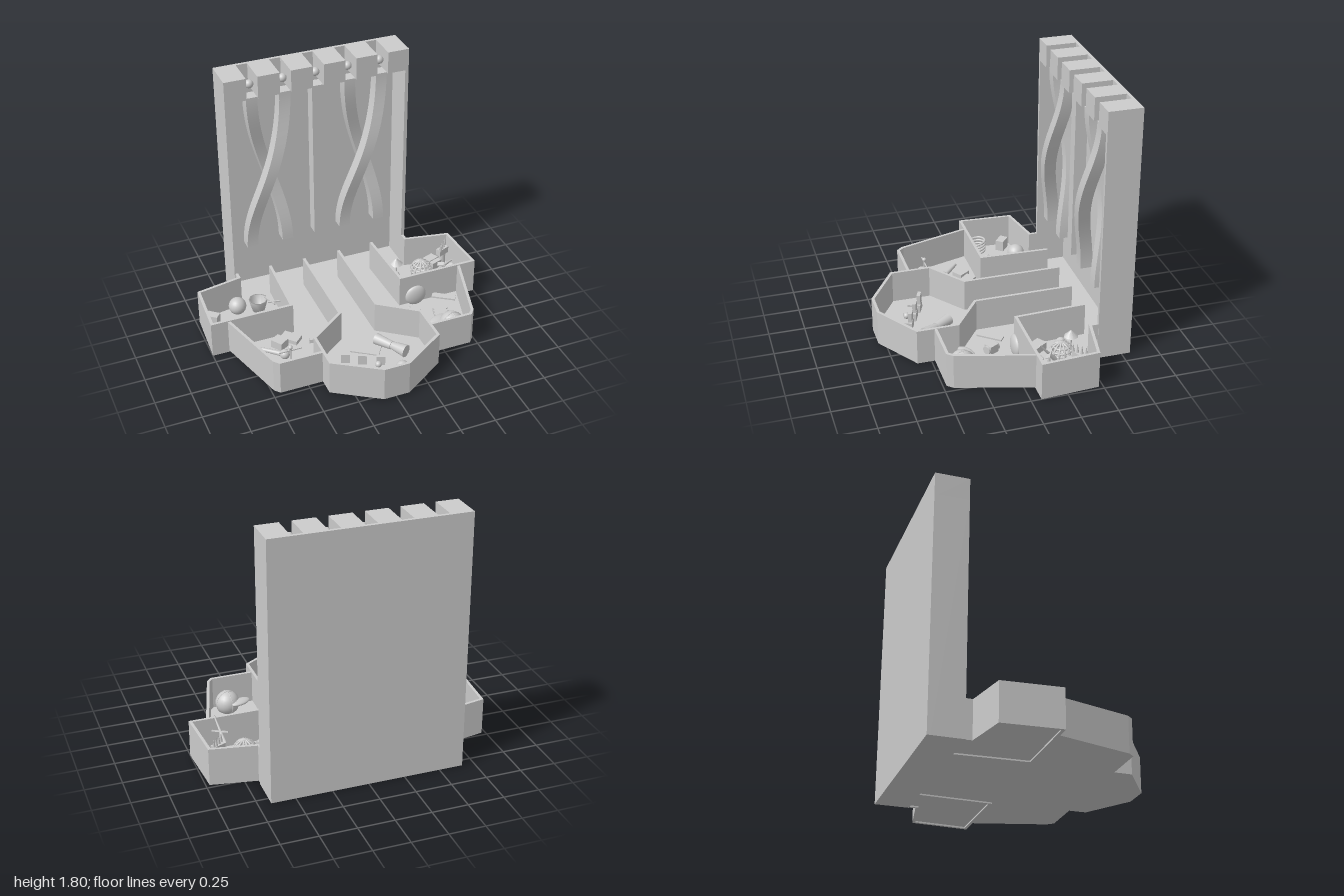
import * as THREE from 'three';

export function createModel() {
  const root = new THREE.Group();
  const mat = new THREE.MeshStandardMaterial({ color: 0xcccccc, side: THREE.DoubleSide });
  const add = (name, geo, x = 0, y = 0, z = 0, ry = 0, rx = 0, rz = 0, parent = root) => {
    const m = new THREE.Mesh(geo, mat);
    m.name = name;
    m.position.set(x, y, z);
    m.rotation.set(rx, ry, rz, 'YXZ');
    parent.add(m);
    return m;
  };
  // box given by its limits
  const block = (name, x0, x1, y0, y1, z0, z1) =>
    add(name, new THREE.BoxGeometry(x1 - x0, y1 - y0, z1 - z0), (x0 + x1) / 2, (y0 + y1) / 2, (z0 + z1) / 2);
  // plan outline of [x, z] points raised from y0 to y1
  const slab = (name, pts, y0, y1) => {
    const shape = new THREE.Shape(pts.map(([x, z]) => new THREE.Vector2(x, -z)));
    const g = new THREE.ExtrudeGeometry(shape, { depth: y1 - y0, bevelEnabled: false });
    g.rotateX(-Math.PI / 2);
    return add(name, g, 0, y0, 0);
  };
  // copy of a path moved inward by t with mitred corners
  const inset = (pts, t) => pts.map((p, i) => {
    const normal = (a, b) => new THREE.Vector2(a[1] - b[1], b[0] - a[0]).normalize();
    const n0 = normal(pts[Math.max(i - 1, 0)], pts[Math.max(i, 1)]);
    const n1 = normal(pts[Math.min(i, pts.length - 2)], pts[Math.min(i + 1, pts.length - 1)]);
    const k = t / (1 + n0.dot(n1));
    return [p[0] + (n0.x + n1.x) * k, p[1] + (n0.y + n1.y) * k];
  });
  const flip = pts => pts.map(([x, z]) => [-x, z]);

  // cabinet shell, open at the front
  block('cabinetBack', -0.665, 0.665, 0, 1.8, -0.81, -0.787);
  block('cabinetFloor', -0.64, 0.64, 0, 0.03, -0.787, -0.575);
  for (const s of [[-0.665, -0.64], [0.64, 0.665]]) block('cabinetSide', s[0], s[1], 0, 1.64, -0.787, -0.575);

  // slotted top and the balls waiting in the slots
  const slots = [-0.47, -0.235, 0, 0.235, 0.47];
  const edges = [-0.665, ...slots.flatMap(x => [x - 0.04, x + 0.04]), 0.665];
  for (let i = 0; i < edges.length; i += 2) block('topBlock', edges[i], edges[i + 1], 1.64, 1.8, -0.787, -0.575);
  for (const x of slots) add('ball', new THREE.SphereGeometry(0.03, 24, 16), x, 1.725, -0.64);

  // chutes: a tall box swept sideways and bulged by height
  const chute = (x0, x1, bulge) => {
    const g = new THREE.BoxGeometry(0.08, 1.19, 0.085, 1, 40, 1);
    const p = g.attributes.position;
    for (let i = 0; i < p.count; i++) {
      const t = 0.5 - p.getY(i) / 1.19;
      p.setX(i, p.getX(i) + x0 + (x1 - x0) * (1 - Math.cos(Math.PI * t)) / 2);
      p.setZ(i, p.getZ(i) + bulge * Math.sin(Math.PI * t) ** 2);
    }
    g.computeVertexNormals();
    add('chute', g, 0, 1.045, -0.64);
  };
  chute(0, 0, 0);
  for (const dx of [0, 0.705]) {
    chute(-0.47 + dx, -0.245 + dx, -0.07);
    chute(-0.235 + dx, -0.51 + dx, 0.073);
  }

  // tray floor and walls
  const half = [[0.66, -0.575], [0.66, -0.53], [0.975, -0.47], [1, -0.07], [0.88, -0.07],
    [0.735, 0.44], [0.7, 0.48], [0.4, 0.48], [0.4, 0.6], [0.09, 0.8]];
  slab('trayFloor', [...half, ...flip(half).reverse()], 0.01, 0.03);
  const walls = [
    ['sideTrayWall', 0, 0.265, [[0.66, -0.575], [0.66, -0.53], [0.975, -0.47], [1, -0.07], [0.405, -0.07], [0.385, -0.575]]],
    ['cornerTrayWall', 0.01, 0.258, [[0.88, -0.07], [0.735, 0.44], [0.7, 0.48], [0.4, 0.48]]],
    ['frontTrayWall', 0.01, 0.26, [[0.145, -0.575], [0.145, 0.12], [0.4, 0.31], [0.4, 0.6], [0.09, 0.8], [0, 0.8]]],
  ];
  for (const [name, y0, y1, path] of walls) {
    const ribbon = [...path, ...inset(path, 0.02).reverse()];
    slab(name, ribbon, y0, y1);
    slab(name, flip(ribbon), y0, y1);
  }

  // simple shapes for the prizes
  const box = (w, h, d) => new THREE.BoxGeometry(w, h, d);
  const ball = r => new THREE.SphereGeometry(r, 20, 14);
  const rod = (r0, r1, h, n = 14) => new THREE.CylinderGeometry(r0, r1, h, n);
  const ring = (r, t) => new THREE.TorusGeometry(r, t, 8, 24);
  const Q = Math.PI / 2;

  // prizes in the right-hand side tray
  add('prizeBox', box(0.09, 0.08, 0.06), -0.9, 0.07, -0.38, -0.7);
  add('roundPrize', ball(0.063), -0.7, 0.093, -0.43);
  const bowl = [[0, 0], [0.045, 0], [0.068, 0.09], [0.058, 0.09], [0.038, 0.012], [0, 0.012]];
  add('pot', new THREE.LatheGeometry(bowl.map(p => new THREE.Vector2(...p)), 10), -0.55, 0.03, -0.41);
  for (let i = 0; i < 4; i++) add('coil', ring(0.06, 0.008), -0.89, 0.05 + i * 0.025, -0.18, 0, Q + 0.15);
  add('smallBox', box(0.1, 0.05, 0.045), -0.72, 0.055, -0.27, 0.45);
  add('rattleHandle', rod(0.008, 0.008, 0.12), -0.64, 0.09, -0.18, -0.4, 0, Q);
  add('rattleHead', ball(0.035), -0.585, 0.09, -0.15);
  add('rattleEnd', ball(0.02), -0.69, 0.09, -0.2);
  add('stick', box(0.09, 0.01, 0.01), -0.465, 0.15, -0.305, -0.2);
  add('stick', box(0.01, 0.01, 0.12), -0.49, 0.15, -0.33, 0.35);

  // prizes in the right-hand corner tray
  add('book', box(0.08, 0.06, 0.09), -0.55, 0.06, 0.04, 0.6);
  add('book', box(0.08, 0.03, 0.13), -0.46, 0.06, 0.02, 0.75);
  add('cube', box(0.03, 0.03, 0.03), -0.33, 0.045, 0.08, -0.3);
  add('bat', rod(0.012, 0.02, 0.21), -0.63, 0.06, 0.11, -0.72, 0, Q);
  add('batEnd', ball(0.035), -0.56, 0.065, 0.175);
  add('scaleBase', rod(0.02, 0.03, 0.02), -0.565, 0.04, 0.31);
  add('scalePost', rod(0.006, 0.006, 0.18), -0.565, 0.13, 0.31);
  add('scaleKnob', ball(0.015), -0.565, 0.225, 0.31);
  add('scaleBeam', box(0.16, 0.008, 0.008), -0.565, 0.2, 0.31);
  for (const x of [-0.645, -0.485]) add('scalePan', rod(0.028, 0.018, 0.012, 20), x, 0.1, 0.31);

  // prizes in the front tray
  add('sheet', box(0.2, 0.01, 0.19), 0.01, 0.04, 0.27, -0.6);
  add('plushBody', rod(0.04, 0.03, 0.13), 0.1, 0.1, 0.35, -1, 0, Q);
  add('plushLegs', rod(0.025, 0.045, 0.13), 0.165, 0.1, 0.445, -1, 0, Q);
  for (const [x, z] of [[-0.23, 0.465], [-0.13, 0.52], [-0.02, 0.575]]) {
    const chair = new THREE.Group();
    chair.name = 'toyChair';
    chair.position.set(x, 0.03, z);
    chair.rotation.y = -0.4;
    add('seat', box(0.09, 0.06, 0.09), 0, 0.03, 0, 0, 0, 0, chair);
    add('chairBack', box(0.06, 0.07, 0.025), 0, 0.095, -0.03, 0, 0, 0, chair);
    root.add(chair);
  }
  add('smallBall', ball(0.022), -0.035, 0.115, 0.57);
  add('ridgedBall', new THREE.IcosahedronGeometry(0.045, 2), 0.125, 0.075, 0.61);

  // prizes in the left-hand corner tray
  add('ruler', box(0.18, 0.012, 0.05), 0.28, 0.05, 0.06, 0.9);
  add('ruler', box(0.17, 0.012, 0.05), 0.73, 0.06, -0.01, -0.6);
  add('halfDish', new THREE.SphereGeometry(0.08, 20, 8, 0, Math.PI * 2, 0, Q), 0.52, 0.11, -0.045, 0, Q).scale.y = 0.4;
  for (const s of [-1, 1]) add('spoolEnd', rod(0.03, 0.03, 0.02), 0.445 + s * 0.02, 0.07, 0.1 + s * 0.035, 0.5, Q);
  add('spoolCore', box(0.06, 0.06, 0.07), 0.445, 0.07, 0.1, 0.5);
  const puzzle = new THREE.Group();
  puzzle.name = 'puzzlePiece';
  puzzle.position.set(0.64, 0.045, 0.13);
  puzzle.rotation.y = 0.5;
  add('puzzleBody', box(0.08, 0.03, 0.08), 0, 0, 0, 0, 0, 0, puzzle);
  for (const [x, z] of [[0.05, 0], [-0.05, 0], [0, 0.05], [0, -0.05]]) add('puzzleTab', rod(0.018, 0.018, 0.03), x, 0, z, 0, 0, 0, puzzle);
  root.add(puzzle);
  add('beachBall', ball(0.085), 0.615, 0.115, 0.35);
  for (const a of [0, Q]) add('beachBallSeam', ring(0.085, 0.003), 0.615, 0.115, 0.35, a + 0.2);
  add('beachBallFlap', ball(0.06), 0.535, 0.13, 0.3, 0.4).scale.set(1.3, 0.3, 0.7);

  // prizes in the left-hand side tray
  add('umbrella', new THREE.ConeGeometry(0.05, 0.05, 8), 0.54, 0.15, -0.43);
  add('umbrellaPole', rod(0.006, 0.006, 0.12), 0.54, 0.09, -0.43);
  add('smallBall', ball(0.035), 0.505, 0.065, -0.37);
  for (let i = 0; i < 6; i++) add('cageHoop', ring(0.075, 0.007), 0.685, 0.115, -0.31, i * Math.PI / 6);
  for (const h of [-0.05, -0.025, 0, 0.025, 0.05]) add('cageBand', ring(Math.sqrt(0.075 ** 2 - h * h), 0.006), 0.685, 0.115 + h, -0.31, 0, Q);
  for (let i = 0; i < 3; i++) add('stripedBox', box(0.09, 0.07 + (i % 2) * 0.01, 0.035), 0.795 + i * 0.012, 0.1, -0.41 + i * 0.034, 0.35);
  add('creatureBody', box(0.09, 0.05, 0.04), 0.88, 0.2, -0.36, 0.4);
  for (let i = 0; i < 4; i++) add('creatureSpike', new THREE.ConeGeometry(0.012, 0.06, 5), 0.85 + i * 0.022, 0.255, -0.33 - i * 0.022);
  add('creatureStand', rod(0.02, 0.03, 0.15), 0.88, 0.105, -0.36);
  add('carton', box(0.08, 0.05, 0.12), 0.5, 0.055, -0.2, 0.6);
  add('bow', ball(0.03), 0.63, 0.06, -0.18, 0.4).scale.set(1.2, 0.4, 0.5);
  add('planeBody', rod(0.005, 0.014, 0.2, 8), 0.815, 0.22, -0.17, 0.3, 0.7);
  add('planeWing', box(0.11, 0.008, 0.03), 0.815, 0.21, -0.18, -0.5, 0.4);
  add('planeStand', rod(0.008, 0.012, 0.18), 0.815, 0.12, -0.18);
  return root;
}
